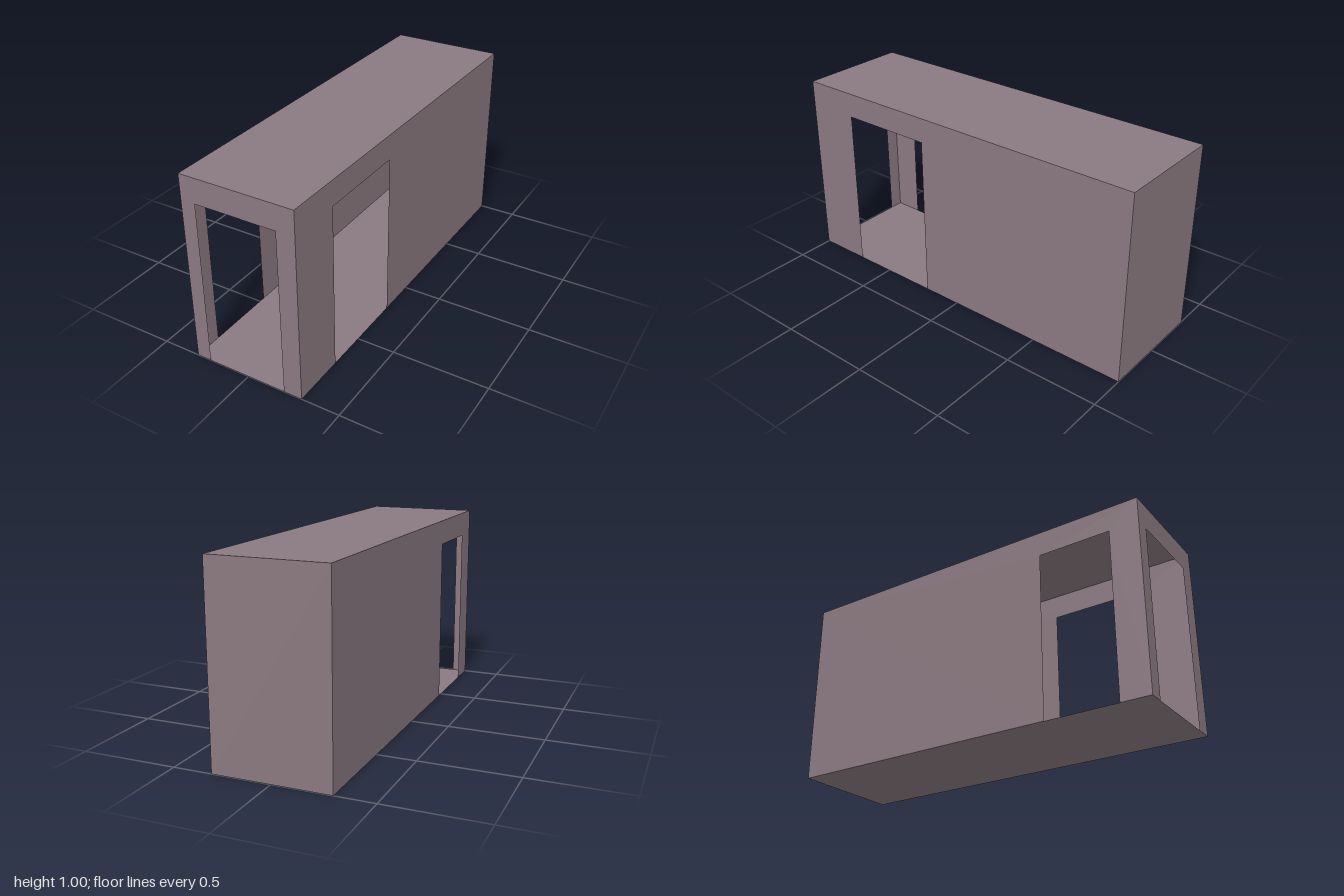
import * as THREE from 'three';

const W = 0.6, H = 1, L = 2, DOOR_TOP = 0.87;

export function createModel() {
  const group = new THREE.Group();
  group.name = 'corridorShell';
  const mauve = new THREE.MeshStandardMaterial({ color: 0x8a7980, side: THREE.DoubleSide });
  mauve.name = 'dusty mauve';

  function add(name, geometry, position, rotation) {
    const mesh = new THREE.Mesh(geometry, mauve);
    mesh.name = name;
    mesh.position.set(...position);
    mesh.rotation.set(...rotation);
    group.add(mesh);
  }

  // Upright wall sheet, optionally notched from the floor by a doorway [from, to]
  function wall(width, door) {
    const h = width / 2;
    const points = [[-h, 0]];
    if (door) {
      const [a, b] = door;
      points.push([a, 0], [a, DOOR_TOP], [b, DOOR_TOP], [b, 0]);
    }
    points.push([h, 0], [h, H], [-h, H]);
    return new THREE.ShapeGeometry(new THREE.Shape(points.map(p => new THREE.Vector2(...p))));
  }

  // Walls: doorways in the front and both sides, solid back
  add('frontWall', wall(W, [-0.222, 0.203]), [0, 0, L / 2], [0, 0, 0]);
  add('backWall', wall(W), [0, 0, -L / 2], [0, Math.PI, 0]);
  add('leftWall', wall(L, [-0.712, -0.21]), [W / 2, 0, 0], [0, Math.PI / 2, 0]);
  add('rightWall', wall(L, [0.468, 0.847]), [-W / 2, 0, 0], [0, -Math.PI / 2, 0]);

  // Roof and floor sheets
  add('roof', new THREE.PlaneGeometry(W, L), [0, H, 0], [-Math.PI / 2, 0, 0]);
  add('floor', new THREE.PlaneGeometry(W, L), [0, 0, 0], [Math.PI / 2, 0, 0]);

  return group;
}
